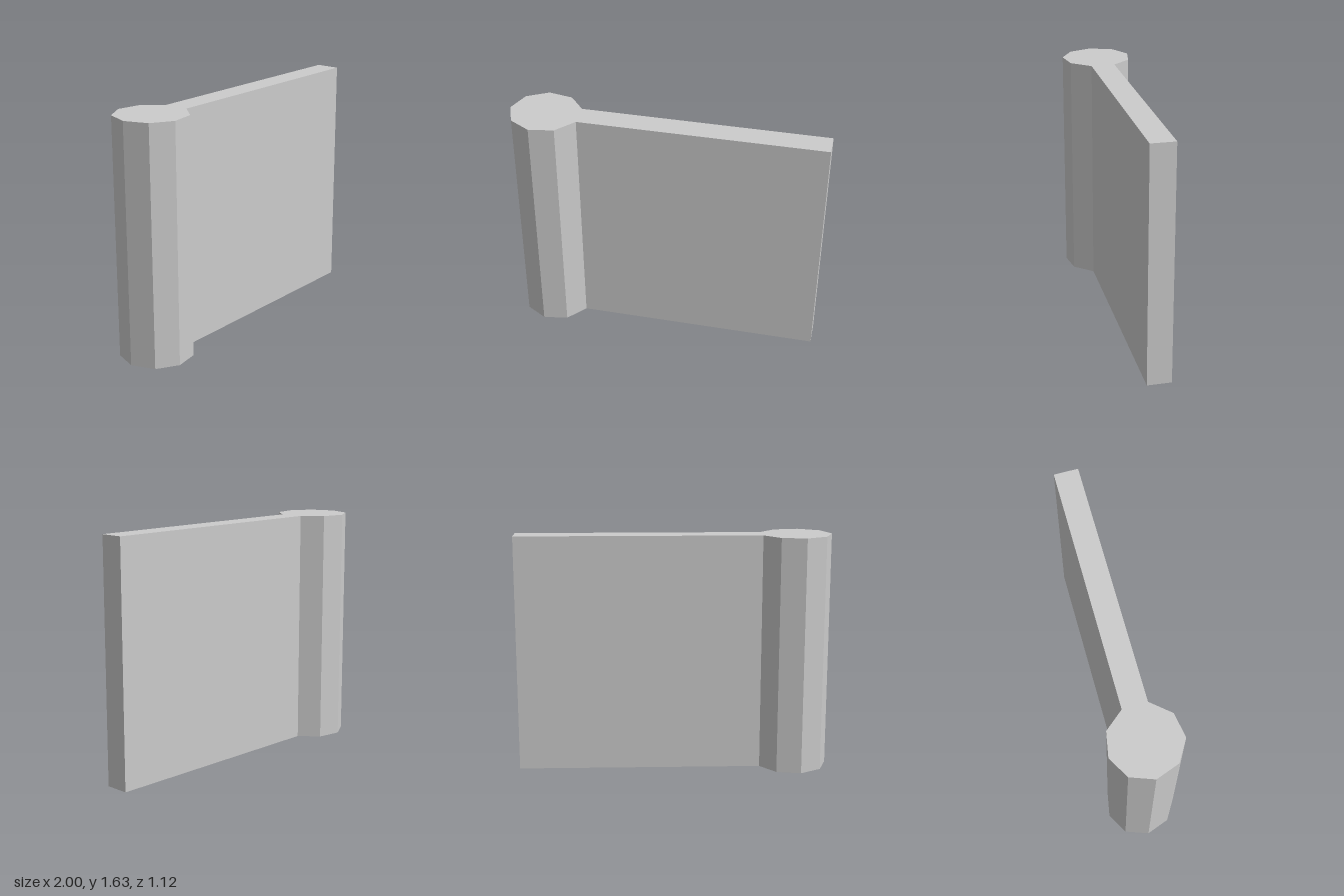
import * as THREE from 'three';

const HEIGHT = 1.63;

// Plan outline as [x, z]: a flat leaf running into a faceted barrel
const leaf = [[-0.515, 0.295], [1.0, -0.41], [0.93, -0.56], [-0.59, 0.145]];
const barrel = [
  [-0.74, 0.075], [-0.905, 0.117], [-1.0, 0.252], [-0.985, 0.42],
  [-0.865, 0.54], [-0.70, 0.557], [-0.56, 0.46],
];

export function createModel() {
  const group = new THREE.Group();
  group.name = 'hingeLeaf';

  // Shape y is -z, so that the extrusion stands upright after the rotation
  const outline = new THREE.Shape([...leaf, ...barrel].map(([x, z]) => new THREE.Vector2(x, -z)));
  const geometry = new THREE.ExtrudeGeometry(outline, { depth: HEIGHT, bevelEnabled: false });
  geometry.rotateX(-Math.PI / 2);

  const material = new THREE.MeshStandardMaterial({ color: 0xcccccc, flatShading: true });
  const mesh = new THREE.Mesh(geometry, material);
  mesh.name = 'leafWithBarrel';
  group.add(mesh);
  return group;
}
